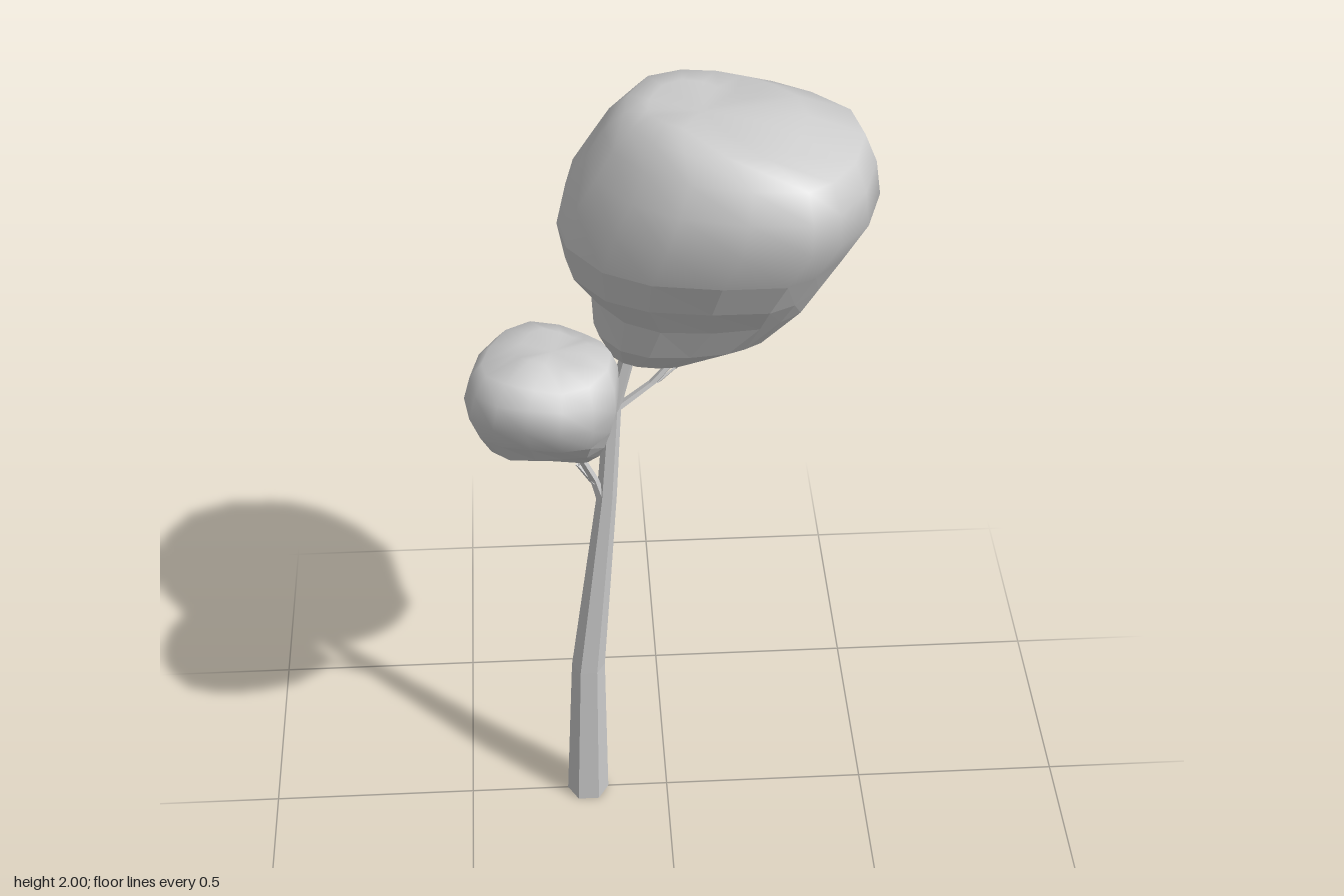
import * as THREE from 'three';

const grey = new THREE.MeshStandardMaterial({ color: 0xcccccc, side: THREE.DoubleSide });
const greyFlat = new THREE.MeshStandardMaterial({ color: 0xcccccc, flatShading: true, side: THREE.DoubleSide });

// Skin closed loops of points, listed bottom to top, with optional end caps.
function loft(name, loops, material, capBottom, capTop) {
  const n = loops[0].length, pos = [], index = [];
  loops.forEach(loop => loop.forEach(p => pos.push(p.x, p.y, p.z)));
  for (let r = 0; r < loops.length - 1; r++) {
    for (let i = 0; i < n; i++) {
      const a = r * n + i, b = r * n + (i + 1) % n;
      index.push(a, a + n, b, b, a + n, b + n);
    }
  }
  const cap = (row, up, dip) => {
    const c = new THREE.Vector3();
    loops[row].forEach(p => c.addScaledVector(p, 1 / n));
    const k = pos.length / 3;
    pos.push(c.x, c.y - dip, c.z);
    for (let i = 0; i < n; i++) {
      const a = row * n + i, b = row * n + (i + 1) % n;
      if (up) index.push(a, k, b); else index.push(b, k, a);
    }
  };
  if (capBottom) cap(0, false, 0);
  if (capTop) cap(loops.length - 1, true, 0.008);
  const g = new THREE.BufferGeometry();
  g.setAttribute('position', new THREE.Float32BufferAttribute(pos, 3));
  g.setIndex(index);
  g.computeVertexNormals();
  const mesh = new THREE.Mesh(g, material);
  mesh.name = name;
  return mesh;
}

// Crown: rows of [y, xMin, xMax, zMin, zMax]; faceted underside, smooth top.
function crown(name, outline, rows, split, wobble) {
  const loops = rows.map(([y, x0, x1, z0, z1], r) => outline.map(([u, v], i) => {
    const a = i / outline.length * Math.PI * 2;
    const lift = r === 0 ? 0 : wobble * Math.sin(3 * a + 0.9 * Math.floor(r / 3));
    return new THREE.Vector3((x0 + x1 + u * (x1 - x0)) / 2, y + lift, (z0 + z1 + v * (z1 - z0)) / 2);
  }));
  const g = new THREE.Group();
  g.name = name;
  g.add(loft(name + 'Underside', loops.slice(0, split + 1), greyFlat, true, false));
  g.add(loft(name + 'Top', loops.slice(split), grey, false, true));
  return g;
}

// Tapered limb through [x, y, z, radius] stations, with level rings.
function limb(name, stations, sides) {
  const loops = stations.map(([x, y, z, r]) => Array.from({ length: sides }, (_, i) => {
    const a = -i / sides * Math.PI * 2;
    return new THREE.Vector3(x + r * Math.cos(a), y, z - r * Math.sin(a));
  }));
  return loft(name, loops, greyFlat, true, true);
}

export function createModel() {
  const tree = new THREE.Group();
  tree.name = 'tree';

  // Trunk bending gently toward the large crown
  tree.add(limb('trunk', [
    [-0.203, 0, 0, 0.052], [-0.195, 0.42, 0, 0.041], [-0.142, 0.95, 0, 0.024],
    [-0.125, 1.2, -0.005, 0.02], [-0.085, 1.36, -0.005, 0.018], [-0.04, 1.5, 0, 0.012],
  ], 6));

  // Side branches and their twigs
  tree.add(limb('leftBranch', [
    [-0.125, 1.19, -0.005, 0.014], [-0.03, 1.265, -0.012, 0.011], [0.01, 1.31, -0.018, 0.01], [0.08, 1.4, -0.02, 0.007],
  ], 5));
  tree.add(limb('leftTwig', [[-0.02, 1.265, -0.012, 0.007], [0.025, 1.297, -0.025, 0.004]], 4));
  tree.add(limb('rightBranch', [
    [-0.15, 0.92, 0, 0.014], [-0.172, 1.01, 0.015, 0.011], [-0.2, 1.08, 0.03, 0.01], [-0.22, 1.16, 0.04, 0.007],
  ], 5));
  tree.add(limb('rightTwig', [[-0.172, 1.0, 0.014, 0.01], [-0.208, 1.05, 0.01, 0.007]], 4));

  // Large crown, lopsided outline as seen from above
  const bigOutline = [
    [0.46, 0.04], [0.42, 0.16], [0.35, 0.245], [0.28, 0.3], [0.13, 0.305], [-0.03, 0.265],
    [-0.14, 0.185], [-0.22, 0.065], [-0.24, -0.035], [-0.22, -0.13], [-0.135, -0.245], [0, -0.3],
    [0.14, -0.307], [0.24, -0.27], [0.34, -0.19], [0.435, -0.08],
  ].map(([x, z]) => [(x - 0.11) / 0.35, z / 0.307]).reverse();
  tree.add(crown('largeCrown', bigOutline, [
    [1.355, -0.13, 0.07, -0.07, 0.065],
    [1.43, -0.165, 0.23, -0.12, 0.14],
    [1.52, -0.17, 0.32, -0.175, 0.18],
    [1.6, -0.225, 0.36, -0.23, 0.235],
    [1.69, -0.242, 0.41, -0.265, 0.275],
    [1.785, -0.22, 0.463, -0.305, 0.308],
    [1.86, -0.175, 0.452, -0.29, 0.295],
    [1.925, -0.135, 0.425, -0.26, 0.265],
    [1.97, -0.09, 0.3, -0.2, 0.2],
    [1.988, -0.04, 0.19, -0.11, 0.12],
  ], 4, 0.008));

  // Small crown on the right branch
  const smallOutline = Array.from({ length: 14 }, (_, i) => {
    const a = -i / 14 * Math.PI * 2;
    const r = 1 + 0.035 * Math.sin(3 * a);
    return [r * Math.cos(a), r * Math.sin(a)];
  });
  tree.add(crown('smallCrown', smallOutline, [
    [1.08, -0.225, -0.175, 0.005, 0.045],
    [1.125, -0.29, -0.155, -0.02, 0.1],
    [1.19, -0.415, -0.14, -0.055, 0.19],
    [1.245, -0.44, -0.125, -0.07, 0.23],
    [1.32, -0.463, -0.112, -0.087, 0.275],
    [1.375, -0.448, -0.115, -0.08, 0.262],
    [1.41, -0.42, -0.13, -0.05, 0.225],
    [1.43, -0.34, -0.18, 0.01, 0.15],
  ], 3, 0.01));

  return tree;
}
